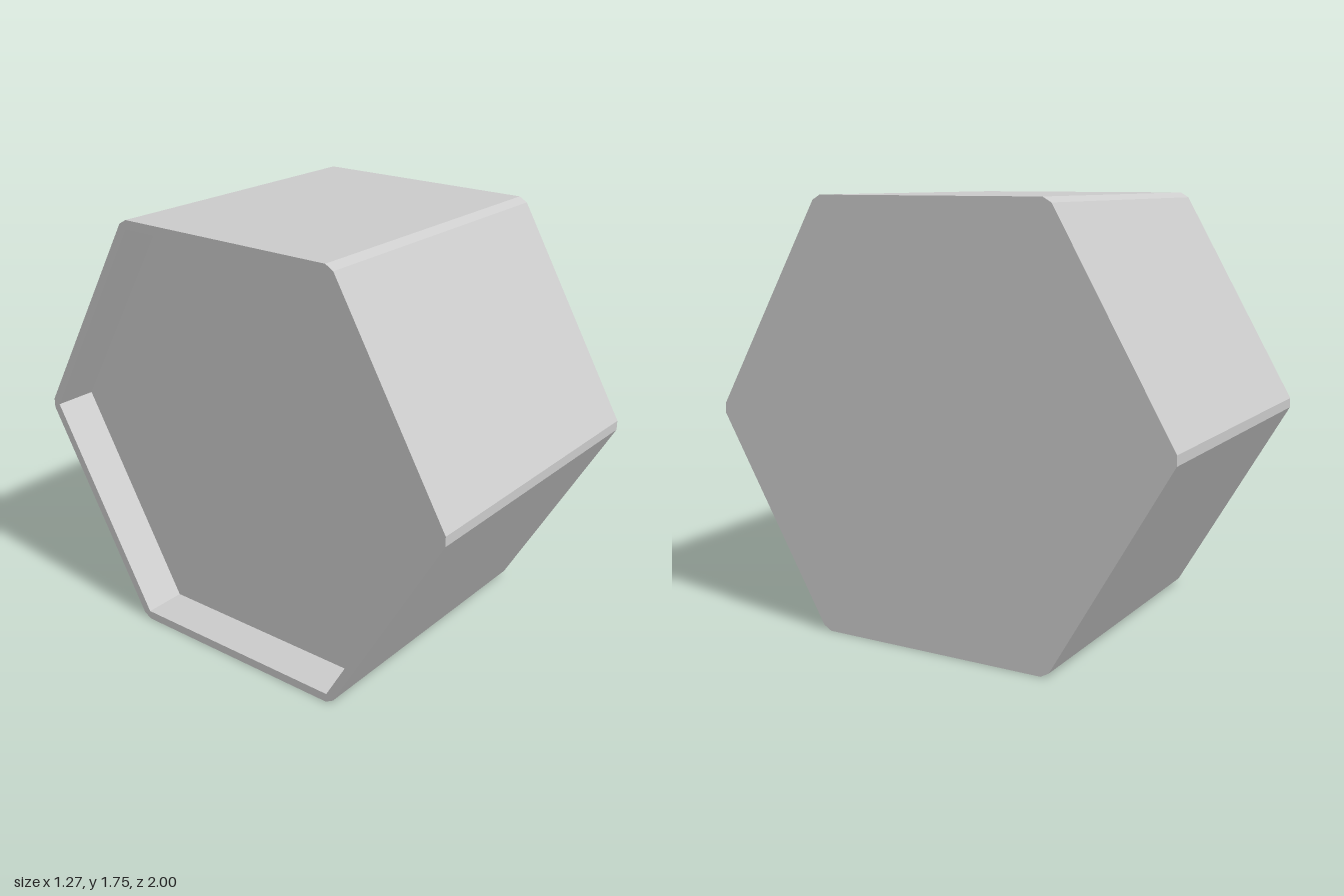
import * as THREE from 'three';

const APOTHEM = 0.876;                       // half height of the prism
const R = APOTHEM / Math.cos(Math.PI / 6);   // radius of the unchamfered corners
const INNER_R = 0.97;                        // recess corner radius
const HALF = 0.635, FLOOR = -0.455;          // ends along the axis, recess floor

// Hexagon with corners pointing sideways, counter-clockwise
function hexagon(radius) {
  return Array.from({ length: 6 }, (_, i) => {
    const a = i * Math.PI / 3;
    return new THREE.Vector2(Math.cos(a) * radius, Math.sin(a) * radius);
  });
}

// Replace every corner by a short straight edge
function chamfer(points, size) {
  const n = points.length;
  return points.flatMap((p, i) => [points[(i + n - 1) % n], points[(i + 1) % n]]
    .map(q => p.clone().lerp(q, size / p.distanceTo(q))));
}

// Flat-sided band along a loop; faces outward for a counter-clockwise loop
function band(loop, z0, z1) {
  const pos = [];
  loop.forEach((p, i) => {
    const q = loop[(i + 1) % loop.length];
    pos.push(p.x, p.y, z0, q.x, q.y, z0, q.x, q.y, z1);
    pos.push(p.x, p.y, z0, q.x, q.y, z1, p.x, p.y, z1);
  });
  const geo = new THREE.BufferGeometry();
  geo.setAttribute('position', new THREE.Float32BufferAttribute(pos, 3));
  geo.computeVertexNormals();
  return geo;
}

export function createModel() {
  const model = new THREE.Group();
  model.name = 'hexagonalCap';
  const material = new THREE.MeshStandardMaterial({ color: 0xcccccc, flatShading: true });

  const add = (name, geo) => {
    geo.rotateY(Math.PI / 2);                // lay the prism axis along x
    geo.translate(0, APOTHEM, 0);
    const mesh = new THREE.Mesh(geo, material);
    mesh.name = name;
    model.add(mesh);
  };

  const outer = chamfer(hexagon(R), 0.023);
  const inner = hexagon(INNER_R);

  // Outside: six sides with chamfered edges and the closed end
  add('outerSides', band(outer, -HALF, HALF));
  add('closedEnd', new THREE.ShapeGeometry(new THREE.Shape(outer)).translate(0, 0, HALF));

  // Open end: thin rim, inner walls and recessed floor
  const rim = new THREE.Shape(outer);
  rim.holes.push(new THREE.Path(inner));
  add('rim', new THREE.ShapeGeometry(rim).rotateY(Math.PI).translate(0, 0, -HALF));
  add('recessWalls', band([...inner].reverse(), -HALF, FLOOR));
  add('recessFloor', new THREE.ShapeGeometry(new THREE.Shape(inner)).rotateY(Math.PI).translate(0, 0, FLOOR));

  return model;
}
